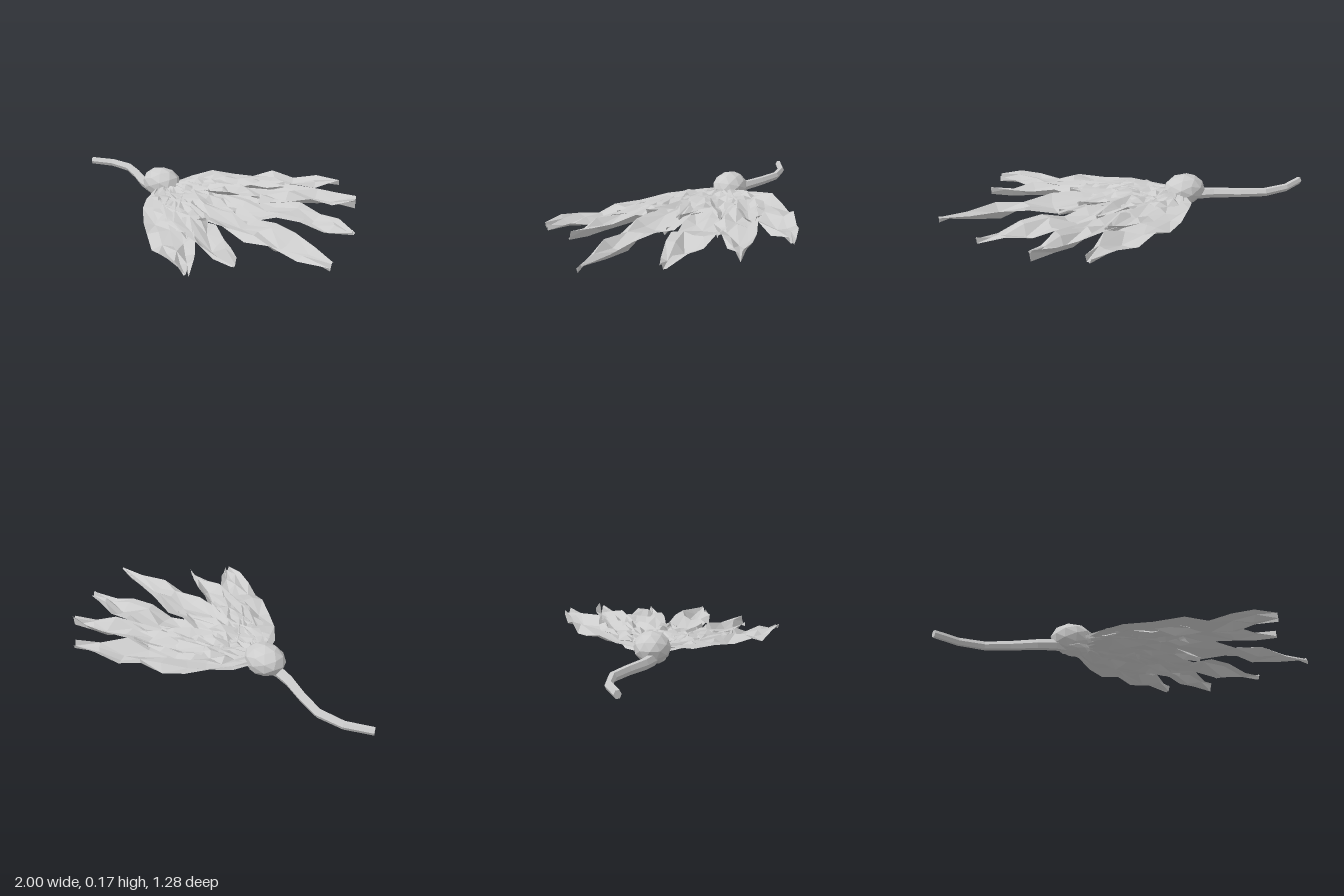
import * as THREE from 'three';

// small seeded generator, returns -1..1
function seeded(seed) {
  let s = seed * 7919 + 17;
  return () => {
    s = (s * 16807) % 2147483647;
    return (s / 2147483647) * 2 - 1;
  };
}

// grid of rows of points turned into a flat-faceted surface
function gridGeometry(rows) {
  const cols = rows[0].length;
  const pos = [], idx = [];
  rows.forEach(r => r.forEach(p => pos.push(p.x, p.y, p.z)));
  for (let i = 0; i < rows.length - 1; i++) {
    for (let j = 0; j < cols - 1; j++) {
      const a = i * cols + j, b = a + 1, c = a + cols, d = c + 1;
      if ((i + j) % 2) idx.push(a, b, c, b, d, c);
      else idx.push(a, b, d, a, d, c);
    }
  }
  const indexed = new THREE.BufferGeometry();
  indexed.setAttribute('position', new THREE.Float32BufferAttribute(pos, 3));
  indexed.setIndex(idx);
  const g = indexed.toNonIndexed();
  g.computeVertexNormals();
  return g;
}

// crumpled petal along a path of [x, z] points, widest past the middle
function petalGeometry(path, halfWidth, lift, crumple, seed) {
  const rnd = seeded(seed);
  const curve = new THREE.CatmullRomCurve3(path.map(([x, z]) => new THREE.Vector3(x, 0, z)));
  const rows = [], N = 8;
  for (let i = 0; i <= N; i++) {
    const t = i / N;
    const p = curve.getPoint(t), d = curve.getTangent(t);
    const side = new THREE.Vector3(-d.z, 0, d.x);
    const w = halfWidth * (0.13 + 0.87 * Math.pow(Math.sin(Math.PI * Math.pow(t, 0.8)), 0.7));
    const fold = t > 0.7 ? 0.012 : 0;
    const row = [];
    for (let j = -2; j <= 2; j++) {
      const q = p.clone().addScaledVector(side, (w * j) / 2);
      const inner = Math.abs(j) < 2 && i > 0 && i < N;
      if (inner) q.addScaledVector(d, rnd() * 0.02);
      const wave = rnd() * crumple * (0.5 + 0.5 * Math.min(1, t * 3));
      q.y = Math.max(0.015, 0.075 - 0.07 * q.z + lift + wave + fold * (Math.abs(j) - 1));
      row.push(q);
    }
    rows.push(row);
  }
  return gridGeometry(rows);
}

// tapered six-sided stem with closed ends
function stemGeometry(points) {
  const rows = points.map(([x, y, z, r], i) => {
    const a = points[Math.max(0, i - 1)], b = points[Math.min(points.length - 1, i + 1)];
    const d = new THREE.Vector3(b[0] - a[0], 0, b[2] - a[2]).normalize();
    const row = [];
    for (let k = 0; k <= 6; k++) {
      const t = (k / 6) * Math.PI * 2;
      const c = Math.cos(t) * r * 0.85;
      row.push(new THREE.Vector3(x - d.z * c, y + Math.sin(t) * r, z + d.x * c));
    }
    return row;
  });
  const cap = i => rows[i].map(() => new THREE.Vector3(...points[i].slice(0, 3)));
  return gridGeometry([cap(0), ...rows, cap(points.length - 1)]);
}

export function createModel() {
  const model = new THREE.Group();
  model.name = 'flower';
  const grey = new THREE.MeshStandardMaterial({
    color: 0xcccccc, flatShading: true, side: THREE.DoubleSide,
  });
  grey.name = 'light grey';

  const add = (name, geometry) => {
    const mesh = new THREE.Mesh(geometry, grey);
    mesh.name = name;
    model.add(mesh);
    return mesh;
  };

  // curved stem
  add('stem', stemGeometry([
    [-1, 0.042, -0.1, 0.021], [-0.87, 0.043, -0.158, 0.022], [-0.73, 0.043, -0.165, 0.024],
    [-0.6, 0.042, -0.115, 0.026], [-0.47, 0.041, -0.052, 0.029], [-0.38, 0.041, -0.025, 0.032],
    [-0.27, 0.038, -0.02, 0.034],
  ]));

  // rounded bud at the head of the stem
  const bud = add('bud', new THREE.IcosahedronGeometry(1, 1));
  bud.scale.set(0.117, 0.083, 0.095);
  bud.position.set(-0.295, 0.087, -0.033);

  // small cup under the bud
  const cup = add('cup', new THREE.IcosahedronGeometry(1, 1));
  cup.scale.set(0.08, 0.035, 0.07);
  cup.position.set(-0.28, 0.035, -0.03);

  // long petals: path, half width, lift
  const longPetals = [
    [[[-0.26, -0.08], [-0.04, -0.28], [0.2, -0.445], [0.485, -0.628]], 0.13, 0],
    [[[-0.25, -0.06], [-0.02, -0.18], [0.25, -0.27], [0.5, -0.38], [0.7, -0.46]], 0.11, 0.005],
    [[[-0.25, -0.04], [0.2, -0.12], [0.55, -0.16], [0.88, -0.175]], 0.125, -0.005],
    [[[-0.25, -0.02], [0.2, 0.06], [0.6, 0.125], [0.995, 0.17]], 0.115, 0.002],
    [[[-0.25, 0], [-0.02, 0.12], [0.2, 0.235], [0.45, 0.355], [0.66, 0.43]], 0.09, 0.01],
    [[[-0.25, 0.02], [-0.05, 0.19], [0.2, 0.38], [0.38, 0.51], [0.555, 0.63]], 0.115, 0],
  ];
  longPetals.forEach(([path, w, lift], i) =>
    add('longPetal' + (i + 1), petalGeometry(path, w, lift, 0.026, i + 3)));

  // short petals layered above and below the long ones
  const shortPetals = [
    [[[-0.23, -0.07], [0, -0.24], [0.3, -0.38]], 0.09, 0.015],
    [[[-0.23, -0.05], [0, -0.12], [0.28, -0.2]], 0.08, 0.02],
    [[[-0.23, -0.03], [0, 0], [0.3, 0.02]], 0.09, 0.015],
    [[[-0.23, 0], [0, 0.12], [0.28, 0.2]], 0.08, 0.015],
    [[[-0.23, 0.02], [0, 0.2], [0.3, 0.36]], 0.08, 0.01],
    [[[-0.24, -0.05], [0.05, -0.16], [0.4, -0.24]], 0.1, -0.03],
    [[[-0.24, -0.01], [0.05, 0.06], [0.4, 0.05]], 0.1, -0.03],
  ];
  shortPetals.forEach(([path, w, lift], i) =>
    add('shortPetal' + (i + 1), petalGeometry(path, w, lift, 0.02, i + 20)));

  return model;
}
